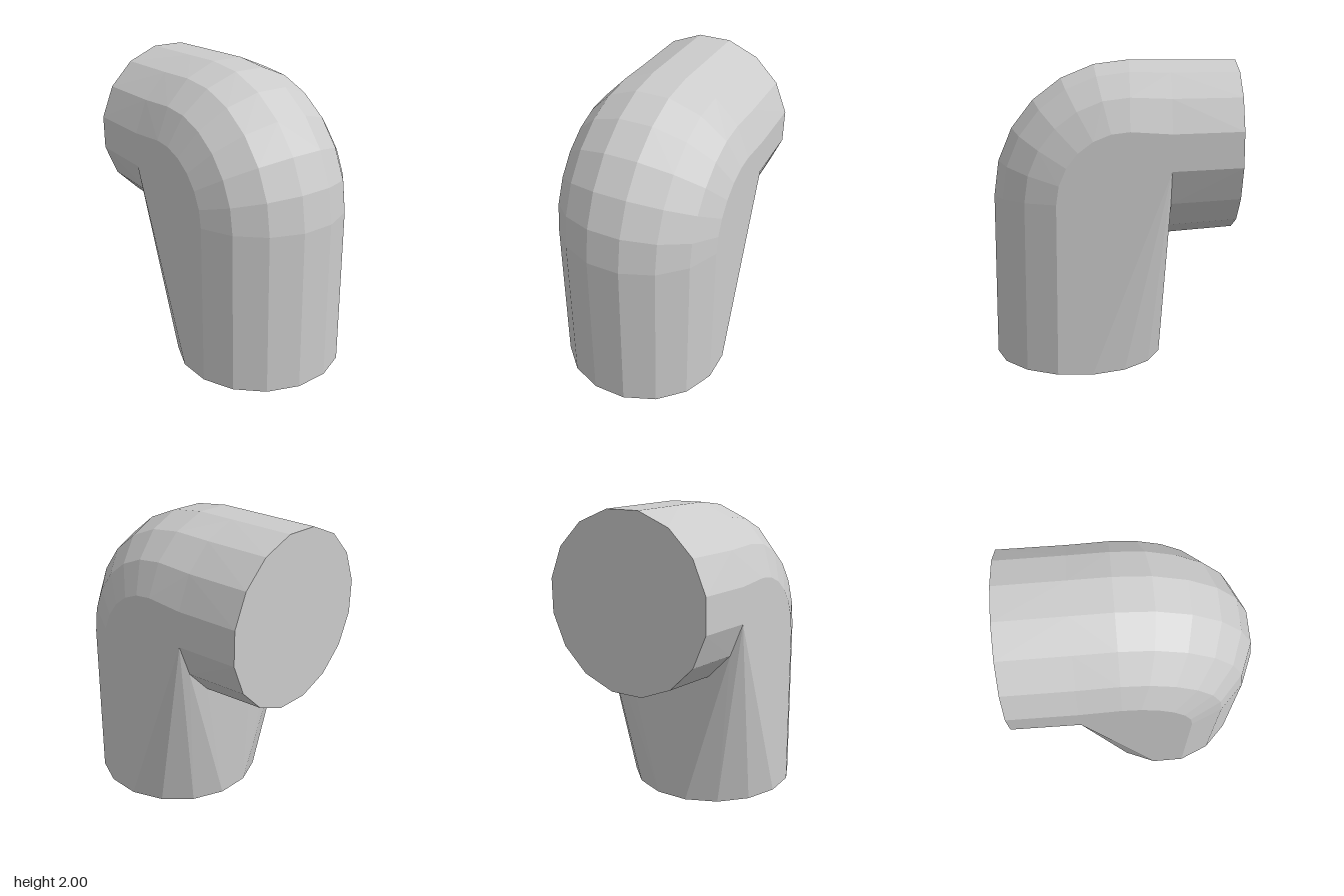
import * as THREE from 'three';
import { ConvexGeometry } from 'three/addons/geometries/ConvexGeometry.js';

const R = 0.56, SIDES = 16;
const RV = R / Math.cos(Math.PI / SIDES); // corner radius, so the flats touch R
const JOINT_Z = -0.36, END_Z = -0.8, LEG_Z = 0.245;

// corners of a cross-section, placed by a function of (across, outward)
function section(count, place) {
  const points = [];
  for (let i = 0; i < count; i++) {
    const a = ((i + 0.5) / SIDES) * Math.PI * 2;
    points.push(place(RV * Math.cos(a), RV * Math.sin(a)));
  }
  return points;
}

// upright ring spanning bottom..top at depth z
function pipeRing(z, bottom, top) {
  const mid = (bottom + top) / 2, scale = (top - bottom) / 2 / R;
  return section(SIDES, (u, v) => new THREE.Vector3(u, mid + v * scale, z));
}

// faceted hull, left open where it meets the other part
function openHull(points) {
  const hull = new ConvexGeometry(points);
  const p = hull.attributes.position;
  const kept = [];
  for (let i = 0; i < p.count; i += 3) {
    const atJoint = [0, 1, 2].every(k => Math.abs(p.getZ(i + k) - JOINT_Z) < 1e-4);
    if (atJoint) continue;
    for (let k = 0; k < 3; k++) kept.push(p.getX(i + k), p.getY(i + k), p.getZ(i + k));
  }
  const geometry = new THREE.BufferGeometry();
  geometry.setAttribute('position', new THREE.Float32BufferAttribute(kept, 3));
  geometry.computeVertexNormals();
  return geometry;
}

export function createModel() {
  const group = new THREE.Group();
  group.name = 'pipeElbow';
  const material = new THREE.MeshStandardMaterial({ color: 0xcccccc, flatShading: true });
  const add = (name, geometry) => {
    const mesh = new THREE.Mesh(geometry, material);
    mesh.name = name;
    group.add(mesh);
  };

  const joint = pipeRing(JOINT_Z, 0.845, 2);

  // upright leg with the rounded outer bend
  const body = [...joint, ...section(SIDES, (u, v) => new THREE.Vector3(u, 0, LEG_Z + v))];
  const bendY = 1.1, bendZ = -0.1, bendR = 0.345, steps = 6;
  for (let s = 0; s <= steps; s++) {
    const t = (s / steps) * Math.PI / 2;
    body.push(...section(SIDES / 2, (u, v) => new THREE.Vector3(
      u,
      bendY + (bendR + v - 0.005 * Math.sin(t)) * Math.sin(t),
      bendZ + (bendR + v - 0.005 * Math.sin(t)) * Math.cos(t)
    )));
  }
  add('legAndBend', openHull(body));

  // horizontal pipe running to the back, closed at its end
  add('backPipe', openHull([...joint, ...pipeRing(END_Z, 0.885, 2)]));

  return group;
}
